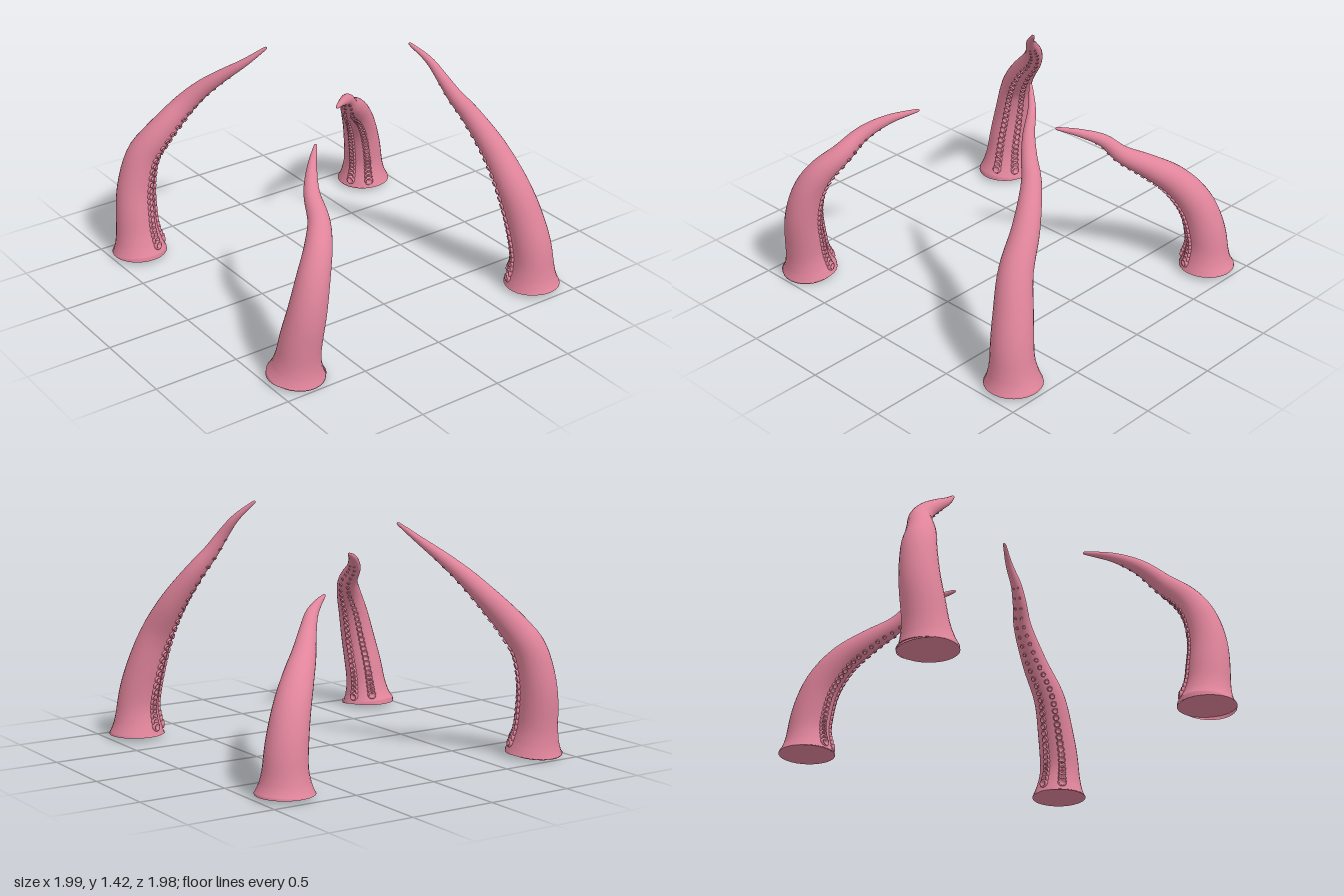
import * as THREE from 'three';
import { mergeGeometries } from 'three/addons/utils/BufferGeometryUtils.js';

const SIDES = 28, RINGS = 72, SUCKERS = 28;
const v = (p) => new THREE.Vector3(...p);

// Centre lines from base to tip, one for each corner
const paths = {
  frontLeftTentacle: [[.83, 0, .82], [.82, .2, .82], [.79, .4, .78], [.745, .6, .715], [.7, .8, .59],
    [.615, 1, .46], [.55, 1.1, .41], [.5, 1.2, .36], [.455, 1.3, .29], [.37, 1.4, .21]],
  frontRightTentacle: [[-.83, 0, .825], [-.82, .2, .855], [-.79, .4, .88], [-.74, .58, .865], [-.68, .7, .82],
    [-.61, .8, .73], [-.565, .9, .6], [-.48, .975, .48], [-.36, 1.03, .345]],
  backRightTentacle: [[-.83, 0, -.83], [-.83, .2, -.855], [-.81, .4, -.875], [-.76, .6, -.86], [-.7, .7, -.825],
    [-.62, .8, -.79], [-.53, .9, -.755], [-.45, 1, -.69], [-.37, 1.1, -.59], [-.28, 1.2, -.48], [-.18, 1.3, -.395]],
  backLeftTentacle: [[.83, 0, -.83], [.82, .2, -.825], [.765, .4, -.785], [.67, .55, -.7], [.56, .65, -.585],
    [.455, .74, -.46], [.385, .825, -.39], [.29, .87, -.305], [.175, .9, -.205]],
};

// Radius against length: flared foot, long taper, blunt tip
const taper = new THREE.SplineCurve([[0, .163], [.02, .149], [.05, .134], [.1, .121], [.2, .113], [.36, .097], [.5, .079],
  [.65, .058], [.8, .037], [.9, .023], [.97, .013], [.995, .008], [1, 0]].map((p) => new THREE.Vector2(...p)));
const stations = taper.getPoints(RINGS);

function radiusAt(t) {
  const i = Math.max(1, stations.findIndex((s) => s.x >= t));
  const a = stations[i - 1], b = stations[i];
  return THREE.MathUtils.mapLinear(t, a.x, b.x, a.y, b.y);
}

// Frame whose "inner" axis faces the middle of the group
function frameAt(curve, inward, t) {
  const point = curve.getPointAt(t);
  const tangent = t < 0.002 ? new THREE.Vector3(0, 1, 0) : curve.getTangentAt(t);
  const inner = inward.clone().addScaledVector(tangent, -inward.dot(tangent)).normalize();
  const side = tangent.clone().cross(inner);
  return { point, radial: (a) => inner.clone().multiplyScalar(Math.cos(a)).addScaledVector(side, Math.sin(a)) };
}

// Tapered skin swept along the curve
function armGeometry(curve, inward) {
  const pos = [], index = [];
  stations.forEach((s, i) => {
    const f = frameAt(curve, inward, THREE.MathUtils.clamp(s.x, 0, 1));
    for (let j = 0; j < SIDES; j++) {
      const p = f.radial((j / SIDES) * Math.PI * 2).multiplyScalar(Math.max(s.y, 0)).add(f.point);
      pos.push(p.x, p.y, p.z);
      if (i === RINGS) continue;
      const a = i * SIDES + j, b = i * SIDES + (j + 1) % SIDES;
      index.push(a, b, a + SIDES, b, b + SIDES, a + SIDES);
    }
  });
  const g = new THREE.BufferGeometry();
  g.setAttribute('position', new THREE.Float32BufferAttribute(pos, 3));
  g.setIndex(index);
  g.computeVertexNormals();
  return g;
}

// Two rows of dished cups that shrink and spread out towards the tip
function suckerGeometry(curve, inward) {
  const cup = new THREE.LatheGeometry([[1, -.7], [1, .3], [.85, .55], [.62, .5], [.45, .15], [0, .1]]
    .map((p) => new THREE.Vector2(...p)), 12);
  const cups = [];
  for (let i = 0; i <= SUCKERS; i++) {
    const x = i / SUCKERS;
    const t = .03 + .79 * (.65 * x + .35 * x * x);
    const r = radiusAt(t), f = frameAt(curve, inward, t);
    for (const row of [-1, 1]) {
      const normal = f.radial(row * .41);
      const turn = new THREE.Quaternion().setFromUnitVectors(new THREE.Vector3(0, 1, 0), normal);
      const size = new THREE.Vector3().setScalar(r * .19);
      const at = f.point.clone().addScaledVector(normal, r);
      cups.push(cup.clone().applyMatrix4(new THREE.Matrix4().compose(at, turn, size)));
    }
  }
  return mergeGeometries(cups);
}

export function createModel() {
  const skin = new THREE.MeshStandardMaterial({ color: 0xe0849b });
  skin.name = 'pinkSkin';
  const model = new THREE.Group();
  model.name = 'tentacles';

  for (const [name, points] of Object.entries(paths)) {
    const curve = new THREE.CatmullRomCurve3(points.map(v));
    const [x, , z] = points[0];
    const inward = new THREE.Vector3(-Math.sign(x), 0, -Math.sign(z)).normalize();
    const tentacle = new THREE.Group();
    tentacle.name = name;
    const add = (part, geometry) => {
      const mesh = new THREE.Mesh(geometry, skin);
      mesh.name = part;
      tentacle.add(mesh);
    };
    add('arm', armGeometry(curve, inward));
    add('suckers', suckerGeometry(curve, inward));
    // Flat underside of the foot
    add('footCap', new THREE.CircleGeometry(stations[0].y, SIDES).rotateX(Math.PI / 2).translate(x, 0, z));
    model.add(tentacle);
  }
  return model;
}
